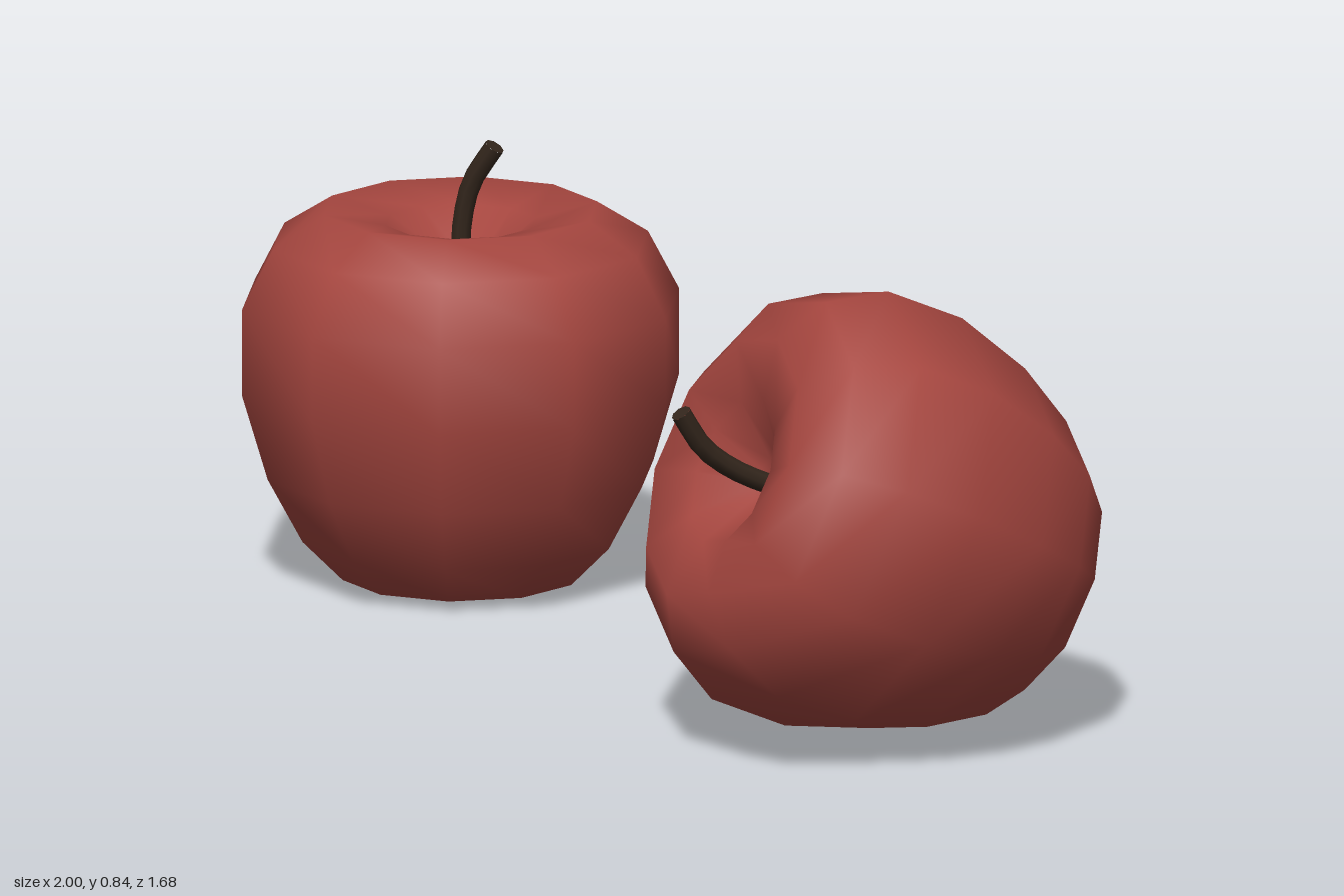
import * as THREE from 'three';

const skin = new THREE.MeshStandardMaterial({ color: 0xa5463f });
skin.name = 'red skin';
const bark = new THREE.MeshStandardMaterial({ color: 0x33261c });
bark.name = 'dark brown';

// One apple standing on y = 0, its stem leaning towards +x
function makeApple(name) {
  const apple = new THREE.Group();
  apple.name = name;

  // Ten-sided body, from the base dimple up and over into the stem dimple
  const profile = [
    [0, 0.03], [0.12, 0], [0.22, 0.015], [0.295, 0.09], [0.36, 0.21], [0.408, 0.37],
    [0.408, 0.53], [0.35, 0.64], [0.255, 0.7], [0.14, 0.675], [0.05, 0.6], [0, 0.57],
  ].map(([r, y]) => new THREE.Vector2(r, y));
  const body = new THREE.Mesh(new THREE.LatheGeometry(profile, 10, Math.PI / 2), skin);
  body.name = 'body';
  apple.add(body);

  // Bent stem with a flat cut end
  const path = new THREE.CatmullRomCurve3([
    [0, 0.56, 0], [0.003, 0.67, 0], [0.022, 0.75, 0], [0.068, 0.822, 0],
  ].map((p) => new THREE.Vector3(...p)));
  const stem = new THREE.Mesh(new THREE.TubeGeometry(path, 8, 0.019, 8), bark);
  stem.name = 'stem';
  const cut = new THREE.Mesh(new THREE.CircleGeometry(0.019, 8), bark);
  cut.name = 'stemEnd';
  cut.position.copy(path.getPoint(1));
  cut.quaternion.setFromUnitVectors(new THREE.Vector3(0, 0, 1), path.getTangent(1));
  apple.add(stem, cut);
  return apple;
}

export function createModel() {
  const model = new THREE.Group();
  model.name = 'apples';

  const upright = makeApple('uprightApple');
  upright.position.set(-0.592, 0, -0.45);

  // Apple tipped onto its side: axis is its stem direction, lean its stem bend
  const tipped = makeApple('tippedApple');
  const axis = new THREE.Vector3(-0.62, 0.4, 0.68).normalize();
  const lean = new THREE.Vector3(0.4, 0.85, -0.32);
  lean.addScaledVector(axis, -lean.dot(axis)).normalize();
  const side = new THREE.Vector3().crossVectors(lean, axis);
  tipped.quaternion.setFromRotationMatrix(new THREE.Matrix4().makeBasis(lean, axis, side));
  tipped.position.set(0.827, 0.26, 0.147);

  model.add(upright, tipped);
  return model;
}
